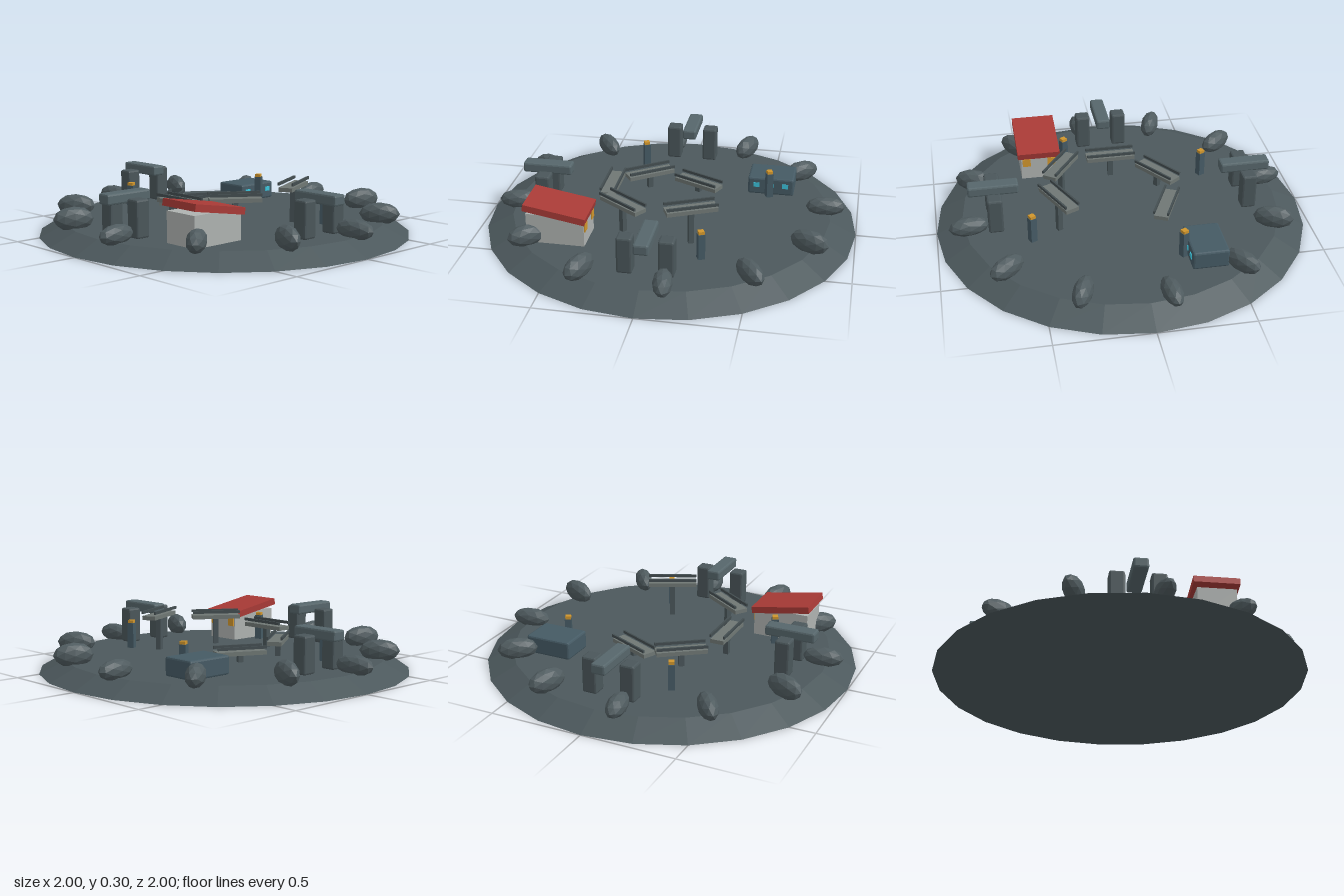
import * as THREE from 'three';
import { RoundedBoxGeometry } from 'three/addons/geometries/RoundedBoxGeometry.js';

const GROUND = 0.07;
const mat = (color) => new THREE.MeshStandardMaterial({ color, flatShading: true });
const mats = {
  ground: mat(0x4c585c), rock: mat(0x4f5b5f), stone: mat(0x56666b), pillar: mat(0x4a565a),
  steel: mat(0x455a64), deck: mat(0x6f7774), rail: mat(0x434d50), wall: mat(0xaeb2b0),
  roof: mat(0xa83a36), amber: mat(0xd0952c), cyan: mat(0x3cc4dc),
};

function add(parent, name, geometry, material, x = 0, y = 0, z = 0) {
  const mesh = new THREE.Mesh(geometry, material);
  mesh.name = name;
  mesh.position.set(x, y, z);
  parent.add(mesh);
  return mesh;
}

function group(parent, name, x = 0, z = 0, yaw = 0) {
  const g = new THREE.Group();
  g.name = name;
  g.position.set(x, 0, z);
  g.rotation.y = yaw;
  parent.add(g);
  return g;
}

const box = (w, h, d) => new THREE.BoxGeometry(w, h, d);
const softBox = (w, h, d) => new RoundedBoxGeometry(w, h, d, 1, 0.01);

// Box standing on the ground up to a given height
function standing(parent, name, w, top, d, material, x = 0, z = 0, make = box) {
  return add(parent, name, make(w, top - GROUND, d), material, x, (top + GROUND) / 2, z);
}

// Ring of faceted boulders, each pointing outwards
function addBoulders(root) {
  const geo = new THREE.IcosahedronGeometry(1, 1);
  const halfHeights = [0.053, 0.064, 0.06];
  for (let i = 0; i < 12; i++) {
    const a = THREE.MathUtils.degToRad(-7.5 + 30 * i);
    const h = halfHeights[i % 3];
    const rock = add(root, 'boulder', geo, mats.rock, 0.835 * Math.cos(a), 0.052 + h, 0.835 * Math.sin(a));
    rock.scale.set(0.108, h, 0.05);
    rock.rotation.y = -a;
  }
}

// Stone gate: two pillars and a lintel lying between them
function addGate(root, x, z, yaw) {
  const g = group(root, 'gate', x, z, yaw);
  for (const s of [-1, 1]) standing(g, 'gatePillar', 0.08, 0.265, 0.08, mats.pillar, s * 0.105, 0, softBox);
  add(g, 'lintel', softBox(0.078, 0.056, 0.27), mats.stone, 0, 0.263, 0);
}

// Raised track piece: deck, two floating rails and a post
function addTrack(root, x, z, bottom) {
  const g = group(root, 'trackSegment', x, z, Math.atan2(-x, -z));
  add(g, 'deck', box(0.27, 0.022, 0.076), mats.deck, 0, bottom + 0.011, 0);
  for (const s of [-1, 1]) add(g, 'rail', box(0.27, 0.015, 0.01), mats.rail, 0, bottom + 0.04, s * 0.038);
  standing(g, 'trackPost', 0.028, bottom, 0.028, mats.pillar);
}

// Lamp post with an amber cap
function addLamp(root, angle) {
  const g = group(root, 'lamp', 0.56 * Math.cos(angle), 0.56 * Math.sin(angle), -angle);
  standing(g, 'lampPost', 0.036, 0.21, 0.036, mats.steel);
  add(g, 'lampCap', box(0.03, 0.018, 0.03), mats.amber, 0, 0.217, 0);
}

export function createModel() {
  const root = new THREE.Group();
  root.name = 'islandTrack';

  // Ground disc with a sloping rim
  add(root, 'ground', new THREE.CylinderGeometry(0.86, 1, GROUND, 24), mats.ground, 0, GROUND / 2, 0);

  addBoulders(root);

  addGate(root, 0, -0.685, 0);
  addGate(root, 0, 0.685, 0);
  addGate(root, -0.685, 0, Math.PI / 2);

  // Track climbing around the middle
  const track = [[0.11, -0.235], [-0.17, -0.24], [-0.325, 0], [-0.205, 0.295], [0.165, 0.355]];
  track.forEach(([x, z], i) => addTrack(root, x, z, 0.108 + 0.0355 * i));

  for (let i = 0; i < 4; i++) addLamp(root, THREE.MathUtils.degToRad(-25 + 90 * i) - 0.01);

  // House with a sloping roof and windows on its left side
  const house = group(root, 'house', -0.515, 0.4);
  standing(house, 'houseWalls', 0.305, 0.23, 0.2, mats.wall);
  const roof = add(house, 'houseRoof', box(0.33, 0.036, 0.237), mats.roof, 0, 0.244, 0);
  roof.rotation.z = -0.17;
  for (const s of [-1, 1]) add(house, 'houseWindow', box(0.01, 0.045, 0.045), mats.amber, 0.154, 0.172, s * 0.07);

  // Low shed with windows on its front
  const shed = group(root, 'shed', 0.513, -0.353);
  standing(shed, 'shedBody', 0.255, 0.168, 0.19, mats.steel, 0, 0, softBox);
  for (const i of [-1, 0, 1]) add(shed, 'shedWindow', box(0.034, 0.026, 0.008), mats.cyan, i * 0.08, 0.127, 0.095);

  return root;
}
